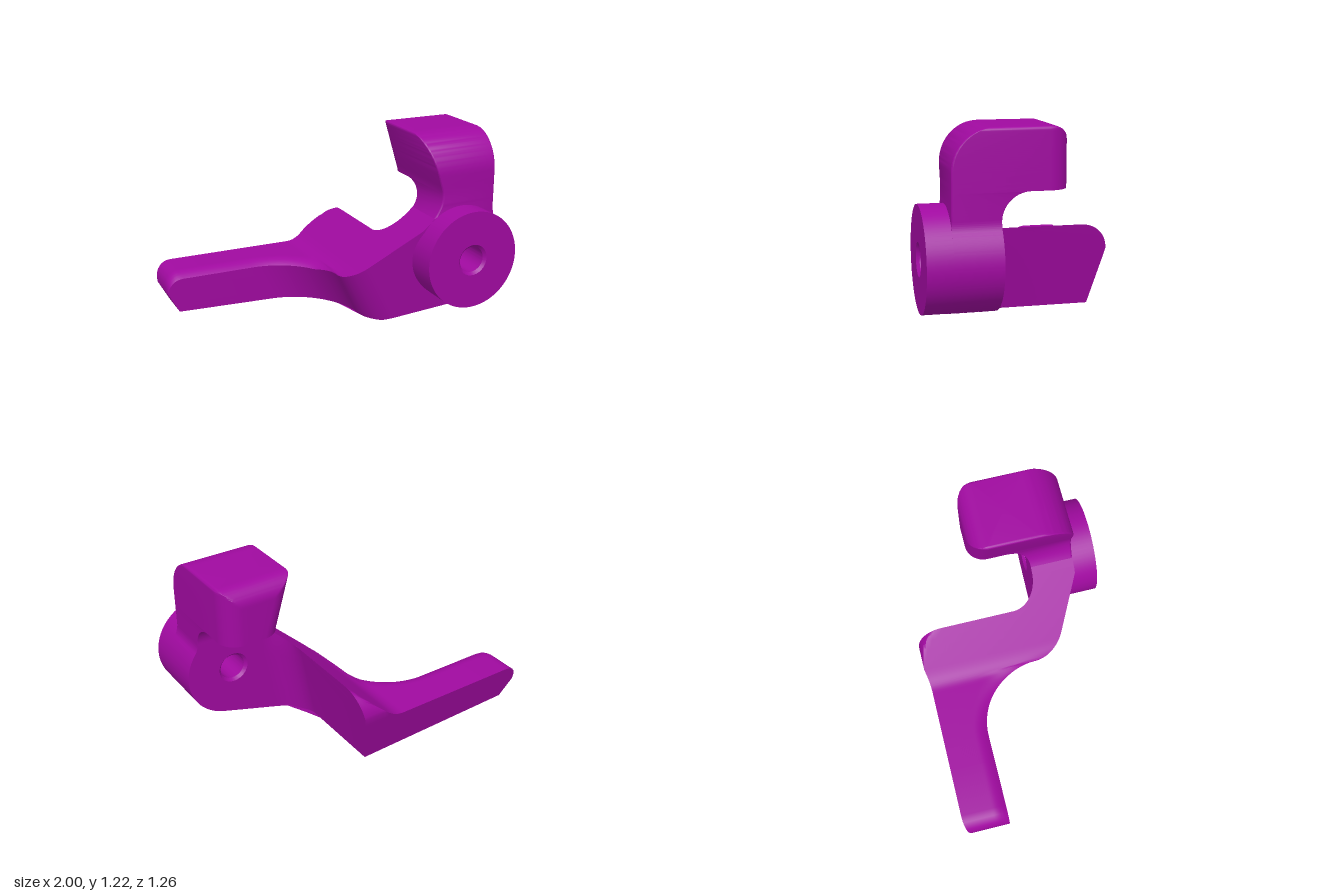
import * as THREE from 'three';
import { toCreasedNormals } from 'three/addons/utils/BufferGeometryUtils.js';

const material = new THREE.MeshStandardMaterial({ color: 0xa00aa0 });
const HUB = { x: 0.686, y: 0.465, r: 0.314 };
const BACK = 0.2, FRONT = 0.48; // depth of the plate
const SHEAR = 0.485; // sideways slant of the elbow's front face
const { sqrt, min, max, sin, cos, PI } = Math;
const arc = (r, d) => sqrt(max(0, r * r - d * d));
const clamp01 = v => min(1, max(0, v));

// Skin a row of rings (each [x, y, z] points, anticlockwise seen against the row) and cap the ends
function loft(rings) {
  const pos = [], n = rings[0].length;
  const tri = (...pts) => pts.forEach(p => pos.push(...p));
  for (let i = 0; i + 1 < rings.length; i++) {
    for (let j = 0; j < n; j++) {
      const k = (j + 1) % n, a = rings[i], b = rings[i + 1];
      tri(a[j], a[k], b[k]);
      tri(a[j], b[k], b[j]);
    }
  }
  const cap = (ring, flip) => {
    const c = [0, 1, 2].map(q => ring.reduce((s, p) => s + p[q], 0) / n);
    for (let j = 0; j < n; j++) {
      const k = (j + 1) % n;
      flip ? tri(c, ring[k], ring[j]) : tri(c, ring[j], ring[k]);
    }
  };
  cap(rings[0], true);
  cap(rings[rings.length - 1], false);
  const g = new THREE.BufferGeometry();
  g.setAttribute('position', new THREE.Float32BufferAttribute(pos, 3));
  return toCreasedNormals(g, 0.5);
}

// Arm limits: upper and lower edge along x, front edge in plan, and top limit along z
function armTop(x) {
  if (x < -0.9) return 0.2 + arc(0.1, x + 0.9);
  if (x < -0.05) return 0.3;
  if (x < 0.07) return 0.3 + 0.86 * (x + 0.05) ** 2 / 0.24;
  return 0.54 + 0.86 * (x - 0.29);
}
function armBottom(x) {
  if (x < -0.93) return 0.17 - (x + 1) * 1.857;
  return x < 0.24 ? 0.04 - 0.0342 * (x + 0.93) : 0.305 * (x - 0.24);
}
function armFront(x) {
  if (x < -0.42) return -0.316;
  if (x < 0) return 0.104 - arc(0.42, x + 0.42);
  if (x < 0.13) return 0.104 + arc(0.25, x - 0.25);
  return min(FRONT, 0.323 + 0.55 * (x - 0.13));
}
function topLimit(z) {
  if (z < -0.46) return 0.37 + arc(0.17, z + 0.46);
  if (z < 0.035) return 0.54;
  return z < BACK ? 0.705 - arc(0.165, z - 0.035) : 9;
}

// Section of the arm at station t: its back leans inward, its front slants outward towards the bottom
function armRing(t) {
  const top = armTop(t), zf = armFront(t), cols = 8, steps = 40;
  const bend = clamp01(t / 0.29), turn = clamp01((t - 0.29) / 0.16);
  const lean = y => 0.194 * max(0, min(top, 0.54) - y);
  const backX = y => t - lean(y) * bend * (1 - turn) + SHEAR * turn * (top - y);
  const backZ = y => t <= 0.29
    ? -0.53 - 0.27 * min(y, 0.37)
    : 0.03 + arc(0.17, max(0, 0.46 - backX(y) - lean(y)));
  const frontX = y => t + SHEAR * clamp01((t + 0.9) / 0.45) * (top - y);
  const footOf = xAt => {
    let y = armBottom(t);
    for (let i = 0; i < 8; i++) y = armBottom(xAt(y));
    return min(y, top);
  };
  const backFoot = footOf(backX), frontFoot = footOf(frontX);

  // back column, from the bottom up
  const ring = [];
  let backTop = min(top, 0.37);
  if (t > 0.29) for (let i = 0; i < 4; i++) backTop = min(top, topLimit(backZ(backTop)));
  for (let i = 0; i < cols; i++) {
    const y = backFoot + (backTop - backFoot) * i / cols;
    ring.push([backX(y), y, backZ(y)]);
  }
  // top, with a softened front edge that fades out at the bend
  const z0 = backZ(backTop);
  const soft = clamp01((0.04 - t) / 0.1);
  const width = t < -0.42 ? 0.09 : min(0.28, 0.09 * 0.42 / max(0.05, arc(0.42, t + 0.42)));
  let y = top;
  for (let i = 0; i <= steps; i++) {
    const z = z0 + (zf - z0) * (1 - cos(PI * i / steps)) / 2;
    const drop = 0.035 * soft * max(0, 1 - (zf - z) / width) ** 2;
    y = max(backFoot, min(top, topLimit(z)) - drop);
    ring.push([backX(y), y, z]);
  }
  // front column, down to the bottom
  for (let i = 0; i <= cols; i++) {
    const yi = y + (min(y, frontFoot) - y) * i / cols;
    ring.push([frontX(yi), yi, zf]);
  }
  // underside point that keeps the bottom inside the inner corner
  const footZ = backZ(backFoot);
  ring.push([backX(backFoot), backFoot, t <= 0.29 ? footZ + (0.03 - footZ) * bend : footZ]);
  return ring;
}

function armGeometry() {
  const ts = [-1, -0.996, -0.985, -0.966, -0.945, -0.93, -0.9, -0.6, -0.45];
  for (let i = 0; i <= 20; i++) ts.push(-0.42 + 0.42 * sin(PI / 2 * i / 20));
  for (let i = 1; i <= 12; i++) ts.push(0.25 - 0.25 * cos(1.07 * i / 12));
  ts.push(0.16, 0.2, 0.24, 0.265, 0.29);
  for (let i = 0; i <= 14; i++) ts.push(0.2901 + 0.1599 * (1 - cos(PI / 2 * i / 14)));
  return loft(ts.map(armRing));
}

// Hook section at height y: a rectangle with rounded corners, the tip cut back by its top rounding
function hookRing(y, tip) {
  const inset = y > 1.205 ? 0.02 - arc(0.02, y - 1.205) : 0;
  const u = 0.92 - y;
  const xl = inset + (u < 0 ? 0.534 + 0.3 * u : 0.534 + 0.405 * u - 2.925 * u * u);
  const xr = 0.92 - inset;
  const zf = y > 0.98 ? 0.235 + arc(0.245, y - 0.98) : FRONT;
  const zb = tip ? -0.193 : 0.035 + arc(0.165, y - 0.705);
  const limit = tip && y > 1.115 ? -0.083 - arc(0.11, y - 1.115) : zb;
  const rb = tip ? 0.12 : 0.002, rf = 0.012;
  const ring = [];
  const corner = (cx, cz, r, start) => {
    for (let i = 0; i <= 16; i++) {
      const a = start + PI / 2 * i / 16;
      ring.push([cx + r * cos(a), y, max(limit, cz - r * sin(a))]);
    }
  };
  corner(xr - rb, zb + rb, rb, 0);
  corner(xl + rb, zb + rb, rb, PI / 2);
  corner(xl + rf, zf - rf, rf, PI);
  corner(xr - rf, zf - rf, rf, 1.5 * PI);
  return ring;
}

function hookGeometry() {
  const rings = [];
  for (let i = 0; i <= 14; i++) rings.push(hookRing(0.705 + 0.165 * sin(PI / 2 * i / 14), false));
  for (const y of [0.87, 0.895, 0.92, 0.98]) rings.push(hookRing(y, true));
  for (let i = 1; i <= 30; i++) rings.push(hookRing(0.98 + 0.245 * sin(PI / 2 * i / 30), true));
  return loft(rings);
}

// Plate joining arm, hub and hook
function plateGeometry() {
  const s = new THREE.Shape();
  s.moveTo(0.709, 0.143);
  s.lineTo(0.778, 0.1645);
  s.absarc(HUB.x, HUB.y, HUB.r, -1.274, 0.6, false);
  s.quadraticCurveTo(0.92, 0.67, 0.92, 0.715);
  s.lineTo(0.494, 0.715);
  s.lineTo(0.45, armTop(0.45));
  const hole = new THREE.Path();
  hole.absarc(HUB.x, HUB.y, 0.105, 0, 2 * PI, true);
  s.holes.push(hole);
  const g = new THREE.ExtrudeGeometry(s, { depth: FRONT - BACK, bevelEnabled: false, curveSegments: 32 });
  g.translate(0, 0, BACK);
  return toCreasedNormals(g, 0.5);
}

// Round hub with a countersunk through hole
function hubGeometry() {
  const { r } = HUB;
  const profile = [[0.1, 0.2], [r, 0.2], [r, 0.63], [0.1, 0.63], [0.083, 0.612], [0.083, 0.218], [0.1, 0.2]];
  const g = new THREE.LatheGeometry(profile.map(p => new THREE.Vector2(...p)), 72);
  g.rotateX(PI / 2);
  g.translate(HUB.x, HUB.y, 0);
  return toCreasedNormals(g, 0.5);
}

export function createModel() {
  const group = new THREE.Group();
  group.name = 'leverWithHook';
  const parts = { arm: armGeometry(), plate: plateGeometry(), hub: hubGeometry(), hook: hookGeometry() };
  for (const [name, geometry] of Object.entries(parts)) {
    const mesh = new THREE.Mesh(geometry, material);
    mesh.name = name;
    group.add(mesh);
  }
  return group;
}
